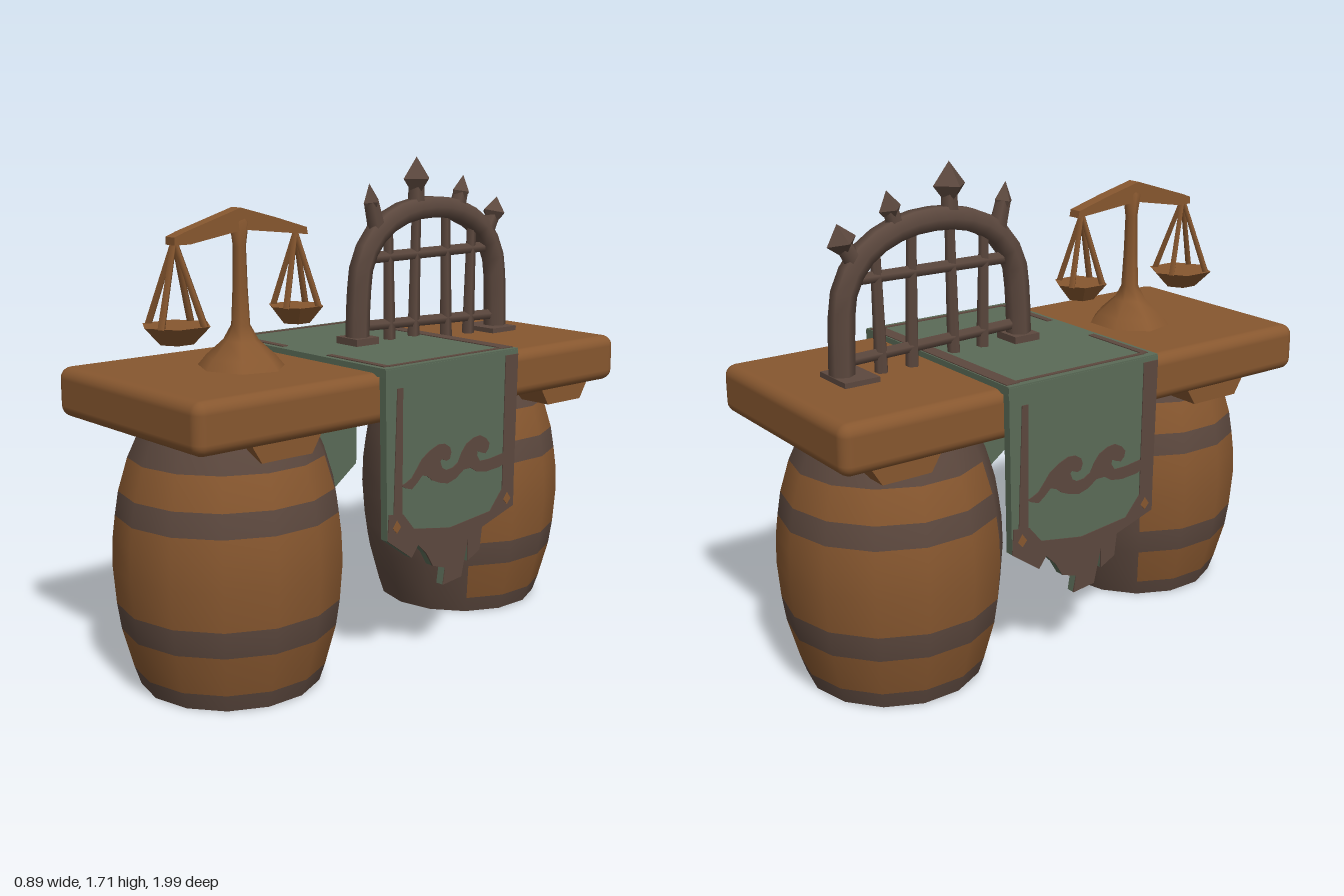
import * as THREE from 'three';
import { RoundedBoxGeometry } from 'three/addons/geometries/RoundedBoxGeometry.js';

const wood = new THREE.MeshStandardMaterial({ color: 0x87572f });
wood.name = 'warm wood';
const dark = new THREE.MeshStandardMaterial({ color: 0x5c483e });
dark.name = 'dark iron brown';
const green = new THREE.MeshStandardMaterial({ color: 0x5a6b57 });
green.name = 'faded green cloth';

const V = (x, y, z) => new THREE.Vector3(x, y, z);

function flat(geo) {
  const g = geo.index ? geo.toNonIndexed() : geo;
  g.computeVertexNormals();
  return g;
}

function add(parent, name, geo, mat, x = 0, y = 0, z = 0) {
  const m = new THREE.Mesh(geo, mat);
  m.name = name;
  m.position.set(x, y, z);
  parent.add(m);
  return m;
}

function box(parent, name, mat, [x0, x1], [y0, y1], [z0, z1]) {
  return add(parent, name, new THREE.BoxGeometry(x1 - x0, y1 - y0, z1 - z0), mat,
    (x0 + x1) / 2, (y0 + y1) / 2, (z0 + z1) / 2);
}

// Tapered rod between two points
function rod(parent, name, mat, a, b, r0, r1, sides = 5) {
  const m = add(parent, name, new THREE.CylinderGeometry(r1, r0, a.distanceTo(b), sides), mat);
  m.position.copy(a).lerp(b, 0.5);
  m.quaternion.setFromUnitVectors(V(0, 1, 0), b.clone().sub(a).normalize());
  return m;
}

// Plate drawn as (-z, y) and thickened along +x
function sidePlate(parent, name, mat, outline, x, depth, smooth = false) {
  const pts = outline.map(([u, y]) => new THREE.Vector2(u, y));
  const shape = new THREE.Shape();
  if (smooth) {
    shape.setFromPoints(new THREE.SplineCurve([...pts, pts[0]]).getPoints(48));
  } else shape.setFromPoints(pts);
  const geo = new THREE.ExtrudeGeometry(shape, { depth, bevelEnabled: false, curveSegments: 8 });
  return add(parent, name, geo.rotateY(Math.PI / 2), mat, x);
}

// Barrel with painted hoops and a dark side facing the middle of the stall
function barrel(name, x, z, turn) {
  const g = new THREE.Group();
  g.name = name;
  const profile = [[0.305, 0], [0.325, 0.06], [0.363, 0.2], [0.376, 0.29], [0.386, 0.42],
    [0.382, 0.52], [0.373, 0.59], [0.36, 0.67], [0.327, 0.78], [0.29, 0.86]];
  const hoops = [0, 2, 6, 8];
  const n = 14;
  const geo = new THREE.LatheGeometry(profile.map(p => new THREE.Vector2(...p)), n);
  const rows = profile.length - 1;
  for (let i = 0; i < n; i++) {
    const inner = Math.abs((i + 0.5) / n * Math.PI * 2 - Math.PI) < 0.9;
    for (let j = 0; j < rows; j++) {
      geo.addGroup((i * rows + j) * 6, 6, inner || hoops.includes(j) ? 1 : 0);
    }
  }
  add(g, 'barrelBody', geo, [wood, dark]);
  add(g, 'barrelBottom', new THREE.CircleGeometry(0.305, n).rotateX(Math.PI / 2), dark, 0, 0.001);
  add(g, 'barrelLid', new THREE.CircleGeometry(0.29, n).rotateX(-Math.PI / 2), dark, 0, 0.859);
  g.position.set(x, 0, z);
  g.rotation.y = turn;
  return g;
}

// Counter slab with cross beams resting on the barrels
function counter() {
  const g = new THREE.Group();
  g.name = 'counter';
  const slab = new RoundedBoxGeometry(0.82, 0.17, 1.93, 3, 0.04);
  add(g, 'slab', slab, wood, 0, 0.955, 0);
  box(g, 'slabUnderside', dark, [-0.36, 0.36], [0.865, 0.872], [-0.38, 0.3]);
  for (const [z, w] of [[0.6, 0.1], [-0.72, 0.09]]) {
    const outline = [[-z - w, 0.81], [-z + w, 0.81], [-z + w + 0.05, 0.89], [-z - w - 0.05, 0.89]];
    sidePlate(g, 'crossBeam', wood, outline, -0.37, 0.74);
  }
  return g;
}

// One hanging end of the cloth, with border, wave and pool painted on
function clothEnd() {
  const g = new THREE.Group();
  g.name = 'clothEnd';
  const rag = [[0.37, 0.49], [0.21, 0.44], [0.2, 0.36], [0.14, 0.33], [0.14, 0.41], [0.11, 0.28],
    [0.02, 0.27], [0.03, 0.33], [-0.03, 0.35], [-0.06, 0.4], [-0.1, 0.44], [-0.13, 0.4], [-0.24, 0.48]];
  sidePlate(g, 'hangingCloth', green, [[-0.25, 1.055], [-0.24, 0.48], ...rag.slice(0, -1).reverse(), [0.38, 1.055]], 0.41, 0.03);
  const paint = (name, mat, pts, smooth, x = 0.437) => sidePlate(g, name, mat, pts, x, 0.006, smooth);
  paint('borderFront', dark, [[-0.2, 0.99], [-0.215, 0.5], [-0.175, 0.5], [-0.175, 0.99]]);
  paint('borderRear', dark, [[0.315, 1.04], [0.31, 0.5], [0.368, 0.49], [0.378, 1.04]]);
  paint('borderBottom', dark, [[-0.24, 0.48], ...rag.slice(0, -1).reverse(), [0.37, 0.58], [0.31, 0.56],
    [0.25, 0.49], [0.05, 0.47], [-0.12, 0.5], [-0.17, 0.56], [-0.235, 0.57]]);
  paint('wave', dark, [[-0.18, 0.66], [-0.13, 0.68], [-0.08, 0.74], [0, 0.775], [0.05, 0.75],
    [0.04, 0.71], [0, 0.72], [0.02, 0.68], [0.08, 0.69], [0.12, 0.75], [0.19, 0.775],
    [0.24, 0.74], [0.22, 0.705], [0.18, 0.72], [0.2, 0.68], [0.32, 0.69], [0.32, 0.65],
    [0.2, 0.64], [0.13, 0.67], [0.05, 0.63], [-0.03, 0.65], [-0.08, 0.68], [-0.13, 0.64]], true);
  for (const u of [-0.2, 0.335]) {
    paint('stud', wood, [[u - 0.018, 0.52], [u, 0.5], [u + 0.018, 0.52], [u, 0.545]], false, 0.439);
  }
  return g;
}

function cloth() {
  const g = new THREE.Group();
  g.name = 'cloth';
  box(g, 'clothTop', green, [-0.438, 0.438], [1.03, 1.06], [-0.38, 0.25]);
  box(g, 'rearStripe', dark, [-0.42, 0.42], [1.057, 1.063], [-0.375, -0.325]);
  for (const s of [-1, 1]) {
    const span = (a, b) => [Math.min(s * a, s * b), Math.max(s * a, s * b)];
    box(g, 'frontStripe', dark, span(0.12, 0.41), [1.057, 1.063], [0.205, 0.23]);
    box(g, 'sideStripe', dark, span(0.4, 0.415), [1.057, 1.063], [-0.33, 0.21]);
  }
  const other = clothEnd();
  other.rotation.y = Math.PI;
  other.position.z = -0.13;
  g.add(clothEnd(), other);
  return g;
}

// Arched iron gate with bars and pointed finials
function gate() {
  const g = new THREE.Group();
  g.name = 'gate';
  const path = new THREE.CatmullRomCurve3([[1.04, -0.015], [1.2, -0.02], [1.35, -0.04], [1.45, -0.11],
    [1.51, -0.22], [1.53, -0.36], [1.51, -0.51], [1.44, -0.64], [1.33, -0.71], [1.2, -0.725],
    [1.04, -0.73]].map(([y, z]) => V(0, y, z)));
  add(g, 'archFrame', new THREE.TubeGeometry(path, 20, 0.044, 6), dark);
  [[-0.16, 1.49], [-0.3, 1.53], [-0.45, 1.52], [-0.59, 1.47]].forEach(([z, top], i) => {
    rod(g, 'uprightBar', dark, V(0, 1.04, z + (i % 2 ? 0.01 : -0.01)), V(0, top, z), 0.024, 0.018);
  });
  rod(g, 'upperCrossBar', dark, V(0, 1.36, -0.03), V(0, 1.365, -0.71), 0.022, 0.02);
  rod(g, 'lowerCrossBar', dark, V(0, 1.12, -0.02), V(0, 1.1, -0.72), 0.02, 0.02);
  box(g, 'gateFoot', dark, [-0.09, 0.075], [1.035, 1.058], [-0.77, -0.64]);
  box(g, 'gateFoot', dark, [-0.055, 0.055], [1.05, 1.085], [-0.07, 0.035]);
  // stem y, z then tip centre y, z, half width, half height, tilt
  for (const [y0, z0, y, z, w, h, tilt] of [[1.45, -0.11, 1.56, -0.08, 0.036, 0.065, 0.15],
    [1.52, -0.3, 1.635, -0.3, 0.064, 0.078, 0], [1.49, -0.5, 1.58, -0.53, 0.042, 0.062, -0.2],
    [1.41, -0.66, 1.495, -0.712, 0.055, 0.06, -0.25]]) {
    rod(g, 'finialStem', dark, V(0, y0, z0), V(0, y, z), 0.034, 0.028, 6);
    const tip = add(g, 'finialTip', flat(new THREE.OctahedronGeometry(1).scale(w, h, w)), dark, 0, y, z);
    tip.rotation.x = tilt;
  }
  return g;
}

// Balance scale with two hanging pans
function scale() {
  const g = new THREE.Group();
  g.name = 'balanceScale';
  const foot = [[0.17, 1.03], [0.13, 1.075], [0.065, 1.13], [0.035, 1.18], [0.028, 1.3], [0.024, 1.44], [0.035, 1.52], [0, 1.56]];
  const post = new THREE.LatheGeometry(foot.map(p => new THREE.Vector2(...p)), 7);
  add(g, 'post', post.scale(1, 1, 0.88), wood, 0, 0, 0.5);
  sidePlate(g, 'beam', wood, [[-0.77, 1.46], [-0.71, 1.46], [-0.5, 1.495], [-0.27, 1.47], [-0.23, 1.465],
    [-0.235, 1.49], [-0.37, 1.53], [-0.51, 1.567], [-0.73, 1.5], [-0.77, 1.485]], -0.025, 0.05);
  for (const [z, y, r] of [[0.755, 1.2, 0.12], [0.265, 1.22, 0.1]]) {
    const pan = new THREE.Group();
    pan.name = 'pan';
    pan.position.set(0, y, z);
    g.add(pan);
    add(pan, 'bowl', flat(new THREE.CylinderGeometry(r, r * 0.5, 0.06, 6)), wood, 0, -0.025, 0);
    for (let i = 0; i < 4; i++) {
      const a = i * Math.PI / 2 + 0.5;
      rod(pan, 'cord', wood, V(Math.sin(a) * r * 0.85, 0, Math.cos(a) * r * 0.85),
        V(0, 1.475 - y, 0), 0.014, 0.011, 4);
    }
  }
  return g;
}

export function createModel() {
  const model = new THREE.Group();
  model.name = 'marketStall';
  model.add(
    barrel('frontBarrel', 0.065, 0.612, 0),
    barrel('rearBarrel', -0.065, -0.605, Math.PI),
    counter(), cloth(), gate(), scale());
  return model;
}
